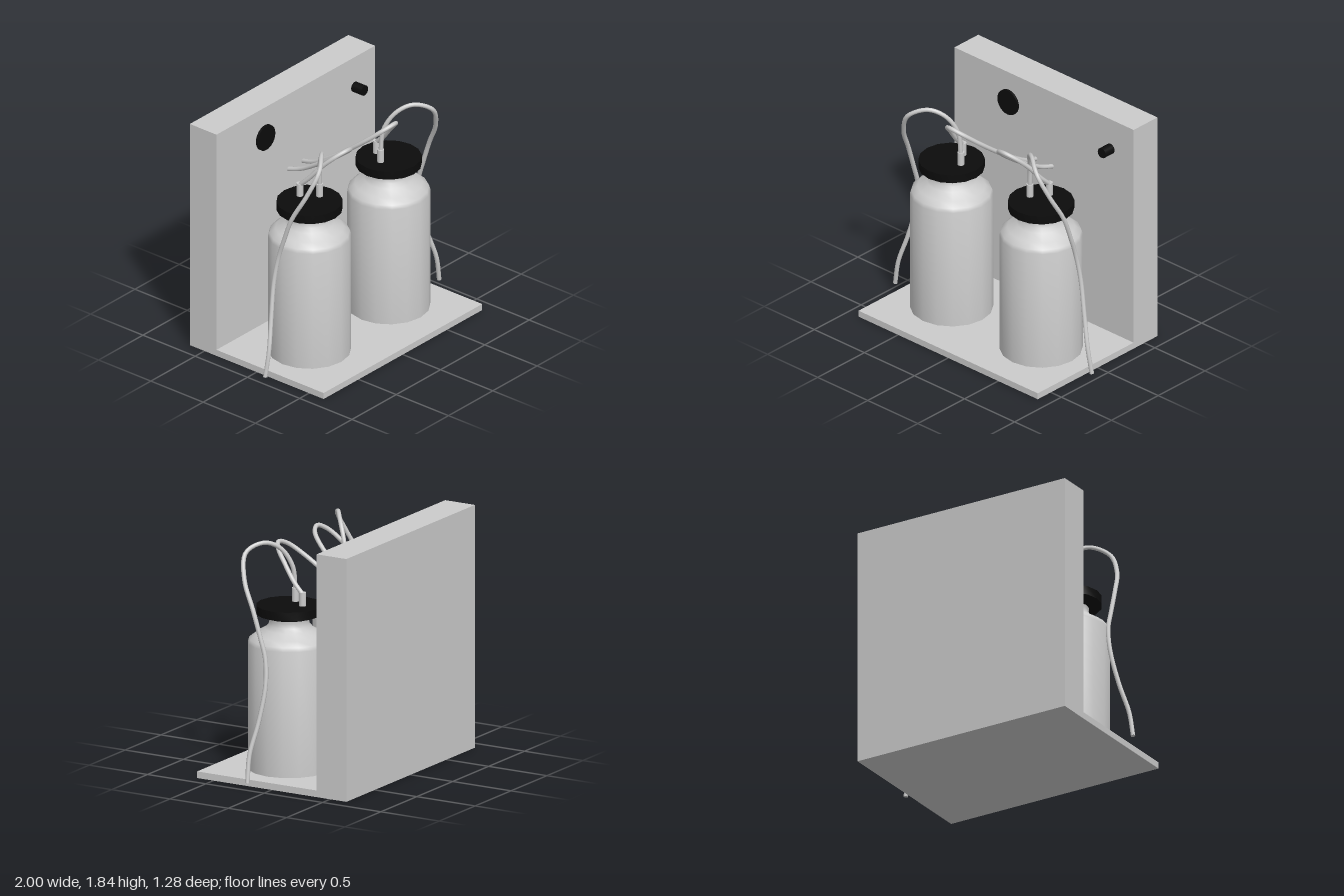
import * as THREE from 'three';
import { toCreasedNormals } from 'three/addons/utils/BufferGeometryUtils.js';

const grey = new THREE.MeshStandardMaterial({ color: 0xcccccc });
const black = new THREE.MeshStandardMaterial({ color: 0x0c0c0c });

function add(parent, name, geometry, material, x = 0, y = 0, z = 0) {
  const mesh = new THREE.Mesh(geometry, material);
  mesh.name = name;
  mesh.position.set(x, y, z);
  parent.add(mesh);
  return mesh;
}

function lathe(profile, crease) {
  const points = profile.map(([r, y]) => new THREE.Vector2(r, y));
  return toCreasedNormals(new THREE.LatheGeometry(points, 16), crease);
}

// Bent hose with closed ends; side mirrors it across x
function hose(parent, name, path, side) {
  const points = path.map(([x, y, z]) => new THREE.Vector3(x * side, y, z));
  const r = 0.017;
  const curve = new THREE.CatmullRomCurve3(points);
  add(parent, name, new THREE.TubeGeometry(curve, 72, r, 8), grey);
  for (const t of [0, 1]) {
    const p = curve.getPoint(t);
    const cap = add(parent, name + 'End', new THREE.CircleGeometry(r, 8), grey, p.x, p.y, p.z);
    const dir = curve.getTangent(t).multiplyScalar(t ? 1 : -1);
    cap.quaternion.setFromUnitVectors(new THREE.Vector3(0, 0, 1), dir);
  }
}

const bottleProfile = [[0, 0.05], [0.305, 0.05], [0.305, 1.0], [0.295, 1.03], [0.25, 1.065],
  [0.18, 1.105], [0.153, 1.135], [0.145, 1.17], [0.15, 1.2], [0, 1.2]];
const lidProfile = [[0, 1.19], [0.16, 1.19], [0.243, 1.217], [0.243, 1.283], [0, 1.283]];

// Hose that arches over and hangs down outside the bottle
const outerPath = [[0.345, 1.37, 0.135], [0.36, 1.55, 0.15], [0.42, 1.69, 0.22], [0.52, 1.74, 0.3],
  [0.64, 1.68, 0.38], [0.73, 1.5, 0.335], [0.775, 1.3, 0.235], [0.785, 1.1, 0.165],
  [0.79, 0.95, 0.12], [0.82, 0.75, 0.1], [0.88, 0.48, 0.125], [0.945, 0.25, 0.16], [0.982, 0.05, 0.155]];

// Hose that loops forward, then runs back into the wall
const innerPath = [[0.432, 1.37, 0.02], [0.422, 1.45, 0.1], [0.39, 1.57, 0.2], [0.34, 1.655, 0.285],
  [0.27, 1.69, 0.325], [0.185, 1.66, 0.295], [0.12, 1.57, 0.19], [0.085, 1.45, 0.035],
  [0.07, 1.33, -0.14], [0.072, 1.25, -0.28], [0.082, 1.215, -0.39]];

export function createModel() {
  const model = new THREE.Group();
  model.name = 'bottleStation';

  // Stand
  add(model, 'basePlate', new THREE.BoxGeometry(1.79, 0.05, 1.025), grey, 0, 0.025, 0.1275);
  add(model, 'backCabinet', new THREE.BoxGeometry(1.79, 1.835, 0.255), grey, 0, 0.9175, -0.5125);

  // Dial and knob on the cabinet front
  const dial = new THREE.CylinderGeometry(0.1, 0.1, 0.02, 24).rotateX(Math.PI / 2);
  add(model, 'dial', dial, black, -0.35, 1.59, -0.378);
  const knob = new THREE.CylinderGeometry(0.04, 0.04, 0.1, 16).rotateX(Math.PI / 2);
  add(model, 'knob', knob, black, 0.665, 1.59, -0.34);

  // Two mirrored bottles with lids, fittings and hoses
  for (const side of [-1, 1]) {
    const unit = new THREE.Group();
    unit.name = side > 0 ? 'leftBottleUnit' : 'rightBottleUnit';
    add(unit, 'bottle', lathe(bottleProfile, 0.75), grey, 0.447 * side, 0, 0.125);
    add(unit, 'lid', lathe(lidProfile, 0.5), black, 0.447 * side, 0, 0.125);
    for (const [x, z] of [[0.345, 0.135], [0.432, 0.02]]) {
      add(unit, 'hoseFitting', new THREE.CylinderGeometry(0.026, 0.026, 0.11, 12), grey, x * side, 1.33, z);
    }
    hose(unit, 'outerHose', outerPath, side);
    hose(unit, 'innerHose', innerPath, side);
    model.add(unit);
  }
  return model;
}
